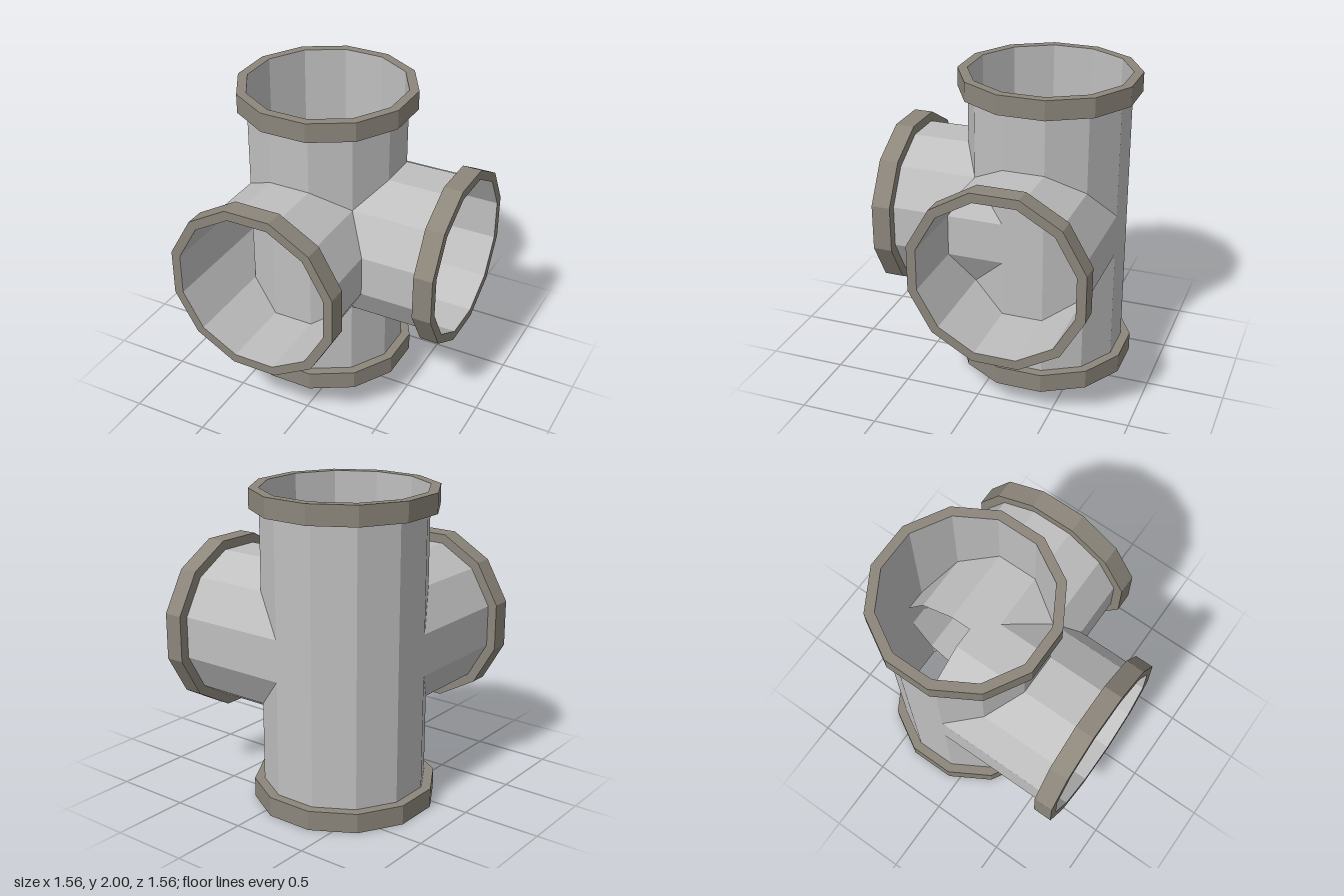
import * as THREE from 'three';

const SIDES = 12;
const START = Math.PI / SIDES; // puts flats, not corners, on the axes
const toRadius = (apothem) => apothem / Math.cos(Math.PI / SIDES);
const R = toRadius(0.5);
const RIM_R = toRadius(0.56);
const RIM_H = 0.125;
const AXIS = -0.22; // x and z of the upright pipe

export function createModel() {
  const group = new THREE.Group();
  const pipeMat = new THREE.MeshStandardMaterial({ color: 0xbfbfbf, flatShading: true, side: THREE.DoubleSide });
  pipeMat.name = 'pipe grey';
  const rimMat = new THREE.MeshStandardMaterial({ color: 0x8c867b, flatShading: true, side: THREE.DoubleSide });
  rimMat.name = 'rim brown grey';

  // Open pipe running from y = 0 up to the given length
  const pipe = (length) => {
    const g = new THREE.CylinderGeometry(R, R, length, SIDES, 1, true, START);
    g.translate(0, length / 2, 0);
    const mesh = new THREE.Mesh(g, pipeMat);
    mesh.name = 'pipe';
    return mesh;
  };

  // Flange collar; the pipe itself lines its inside
  const rim = (y) => {
    const profile = [[R, 0], [RIM_R, 0], [RIM_R, RIM_H], [R, RIM_H]].map(([x, h]) => new THREE.Vector2(x, h));
    const mesh = new THREE.Mesh(new THREE.LatheGeometry(profile, SIDES, START), rimMat);
    mesh.position.y = y;
    mesh.name = 'rim';
    return mesh;
  };

  // Upright pipe with a rim at both ends
  const upright = new THREE.Group();
  upright.name = 'uprightPipe';
  upright.add(pipe(2), rim(0), rim(2 - RIM_H));
  upright.position.set(AXIS, 0, AXIS);
  group.add(upright);

  // Two side branches starting at the upright's axis
  const branch = (name, rx, rz) => {
    const b = new THREE.Group();
    b.name = name;
    b.add(pipe(1), rim(1 - RIM_H));
    b.rotation.set(rx, 0, rz);
    b.position.set(AXIS, 1, AXIS);
    group.add(b);
  };
  branch('leftBranch', 0, -Math.PI / 2);
  branch('frontBranch', Math.PI / 2, 0);

  return group;
}
